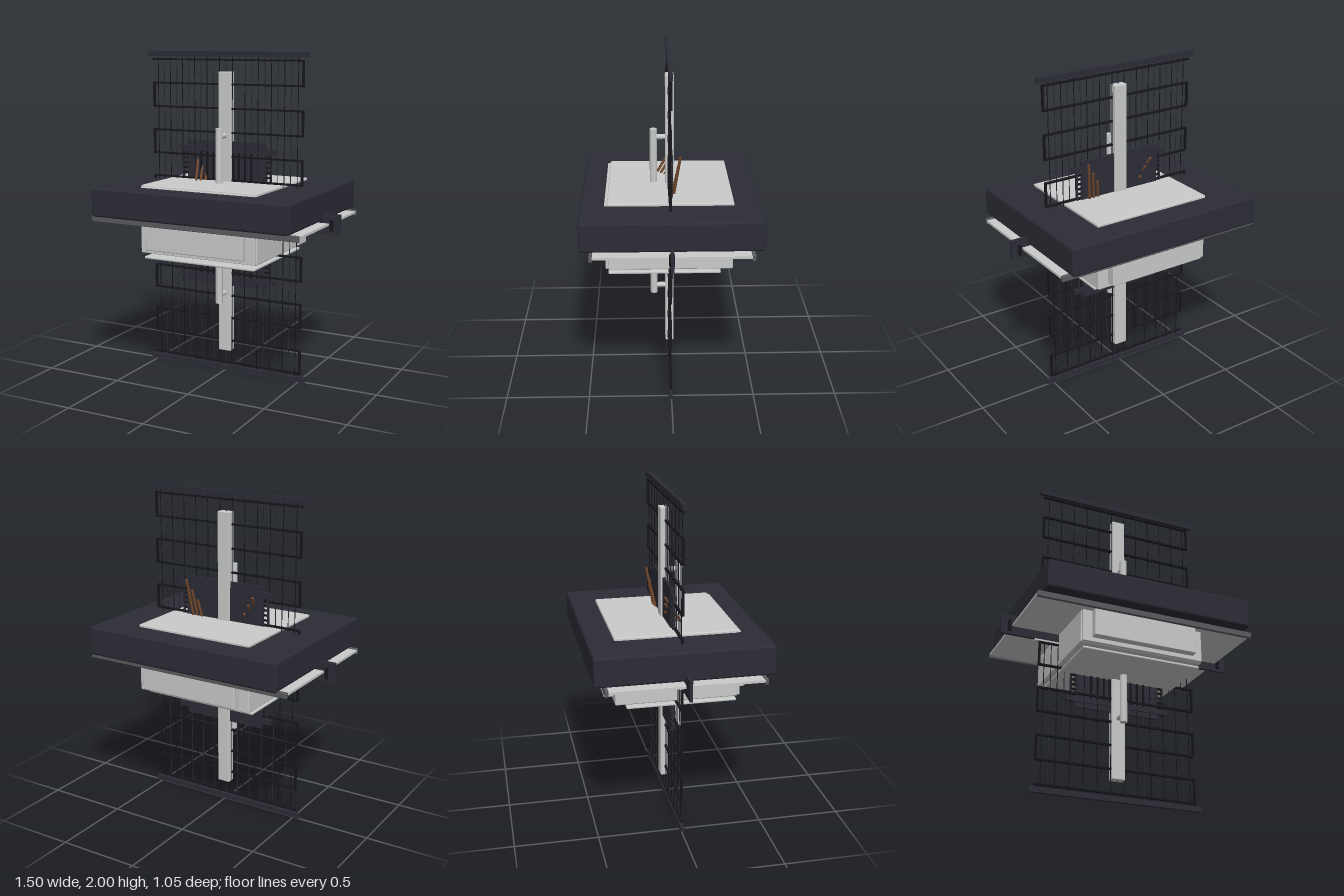
import * as THREE from 'three';
import { RoundedBoxGeometry } from 'three/addons/geometries/RoundedBoxGeometry.js';

const material = (name, color) => Object.assign(new THREE.MeshStandardMaterial({ color }), { name });

export function createModel() {
  const model = new THREE.Group();
  const dark = material('charcoal', 0x2c2c36);
  const black = material('black', 0x17171c);
  const light = material('light grey', 0xc9cbcb);
  const steel = material('dark grey', 0x5a5b5f);
  const copper = material('copper brown', 0x74492c);

  const add = (name, geometry, mat, parent = model) => {
    const mesh = new THREE.Mesh(geometry, mat);
    mesh.name = name;
    parent.add(mesh);
    return mesh;
  };
  const group = (name) => {
    const g = new THREE.Group();
    g.name = name;
    model.add(g);
    return g;
  };
  // Box given by its lower and upper limits, rounded when r > 0
  const box = (name, mat, [x0, x1], [y0, y1], [z0, z1], r = 0, parent = model) => {
    const size = [x1 - x0, y1 - y0, z1 - z0];
    const geo = r ? new RoundedBoxGeometry(...size, 2, r) : new THREE.BoxGeometry(...size);
    const mesh = add(name, geo, mat, parent);
    mesh.position.set((x0 + x1) / 2, (y0 + y1) / 2, (z0 + z1) / 2);
    return mesh;
  };
  // Round bar between two points
  const rod = (name, mat, a, b, r, sides = 8, parent = model) => {
    const p = new THREE.Vector3(...a), q = new THREE.Vector3(...b);
    const mesh = add(name, new THREE.CylinderGeometry(r, r, p.distanceTo(q), sides), mat, parent);
    mesh.position.copy(p).lerp(q, 0.5);
    mesh.quaternion.setFromUnitVectors(new THREE.Vector3(0, 1, 0), q.sub(p).normalize());
    return mesh;
  };

  // Main slab and the casing that passes through it
  box('slab', dark, [-0.646, 0.646], [1.02, 1.197], [-0.524, 0.524], 0.015);
  box('casing', light, [-0.386, 0.386], [0.795, 1.213], [-0.367, 0.37], 0.008);
  box('casingFrontPlate', light, [-0.38, 0.38], [0.8, 1.203], [0.365, 0.386], 0.004);
  box('casingFrontPanel', light, [-0.322, 0.322], [0.827, 1.01], [0.37, 0.43], 0.006);
  box('casingBackPanel', light, [-0.322, 0.322], [0.827, 1.01], [-0.425, -0.36], 0.006);
  box('bottomPlate', light, [-0.37, 0.37], [0.759, 0.775], [-0.297, 0.37], 0.006);

  // Tray under the slab with end bars
  box('traySheet', light, [-0.682, 0.682], [0.994, 1.008], [-0.455, 0.455]);
  for (const s of [-1, 1])
    box('trayEndBar', steel, [-0.683, 0.683], [0.979, 1.015], [s * 0.457 - 0.01, s * 0.457 + 0.01], 0.004);

  // Cross plate with clamps at the tray edges
  box('crossPlate', dark, [-0.752, 0.752], [0.942, 1.065], [-0.008, 0.01]);
  box('crossStrip', light, [-0.54, 0.54], [0.931, 0.941], [-0.012, 0.014]);
  for (const s of [-1, 1])
    box('crossClamp', black, [s * 0.7 - 0.01, s * 0.7 + 0.01], [0.96, 1.03], [-0.014, 0.018]);

  // Column and front handle
  box('column', light, [-0.042, 0.042], [0.13, 1.88], [-0.026, 0.026], 0.006);
  const handle = group('handle');
  rod('handleBar', light, [0, 0.46, 0.097], [0, 1.545, 0.097], 0.022, 24, handle);
  for (const y of [0.51, 1.495])
    rod('handleStandoff', light, [0, y, 0.02], [0, y, 0.097], 0.016, 16, handle);

  // Top and bottom rails of the grille
  for (const y of [0.016, 1.984])
    box('rail', dark, [-0.542, 0.542], [y - 0.016, y + 0.016], [-0.006, 0.016]);

  // Upright wires
  const wires = group('wires');
  for (let i = 0; i < 23; i++) {
    const x = -0.475 + i * 0.0432;
    rod('wire', i % 2 ? dark : black, [x, 0.03, 0.006], [x, 1.97, 0.006], 0.0026, 6, wires);
  }

  // Serpentine coil
  const coil = group('coil');
  const step = 1.9 / 13, w = 0.0055;
  for (let i = 0; i < 14; i++) {
    const y = 1.95 - i * step, side = i % 2 ? -0.506 : 0.506;
    box('coilRun', black, [-0.506 - w, 0.506 + w], [y - w, y + w], [-0.003, 0.013], 0, coil);
    if (i < 13) box('coilTurn', black, [side - w, side + w], [y - step, y], [-0.003, 0.013], 0, coil);
  }

  // Back panel with crossbars, fins and side ladders
  const panel = group('backPanel');
  box('panelPlate', dark, [-0.272, 0.272], [0.552, 1.457], [-0.014, 0], 0, panel);
  for (const y of [0.6, 1.406])
    box('panelBar', dark, [-0.332, 0.332], [y - 0.016, y + 0.016], [-0.012, 0.008], 0, panel);
  for (const s of [-1, 1]) {
    for (const x of [0.052, 0.088, 0.13, 0.172])
      box('panelFin', black, [s * x - 0.005, s * x + 0.005], [0.616, 1.39], [-0.002, 0.012], 0, panel);
    box('ladderPost', dark, [s * 0.3 - 0.004, s * 0.3 + 0.004], [0.6, 1.406], [-0.01, 0.006], 0, panel);
    for (let y = 0.63; y < 1.39; y += 0.031)
      box('ladderRung', black, [s * 0.285 - 0.018, s * 0.285 + 0.018], [y - 0.005, y + 0.005], [-0.008, 0.006], 0, panel);
  }

  // Slanted copper rods, one set on each side of the panel
  const rods = group('copperRods');
  const slanted = [
    [[-0.17, 1.19, 0.085], [-0.21, 1.385, -0.035]],
    [[-0.148, 1.19, 0.063], [-0.178, 1.335, -0.028]],
    [[-0.128, 1.19, 0.04], [-0.146, 1.275, -0.02]],
    [[0.158, 1.19, -0.014], [0.178, 1.32, -0.04]],
    [[0.19, 1.19, -0.016], [0.213, 1.38, -0.048]],
    [[0.22, 1.19, -0.018], [0.248, 1.445, -0.058]],
  ];
  for (const [a, b] of slanted) rod('copperRod', copper, a, b, 0.008, 8, rods);

  return model;
}
